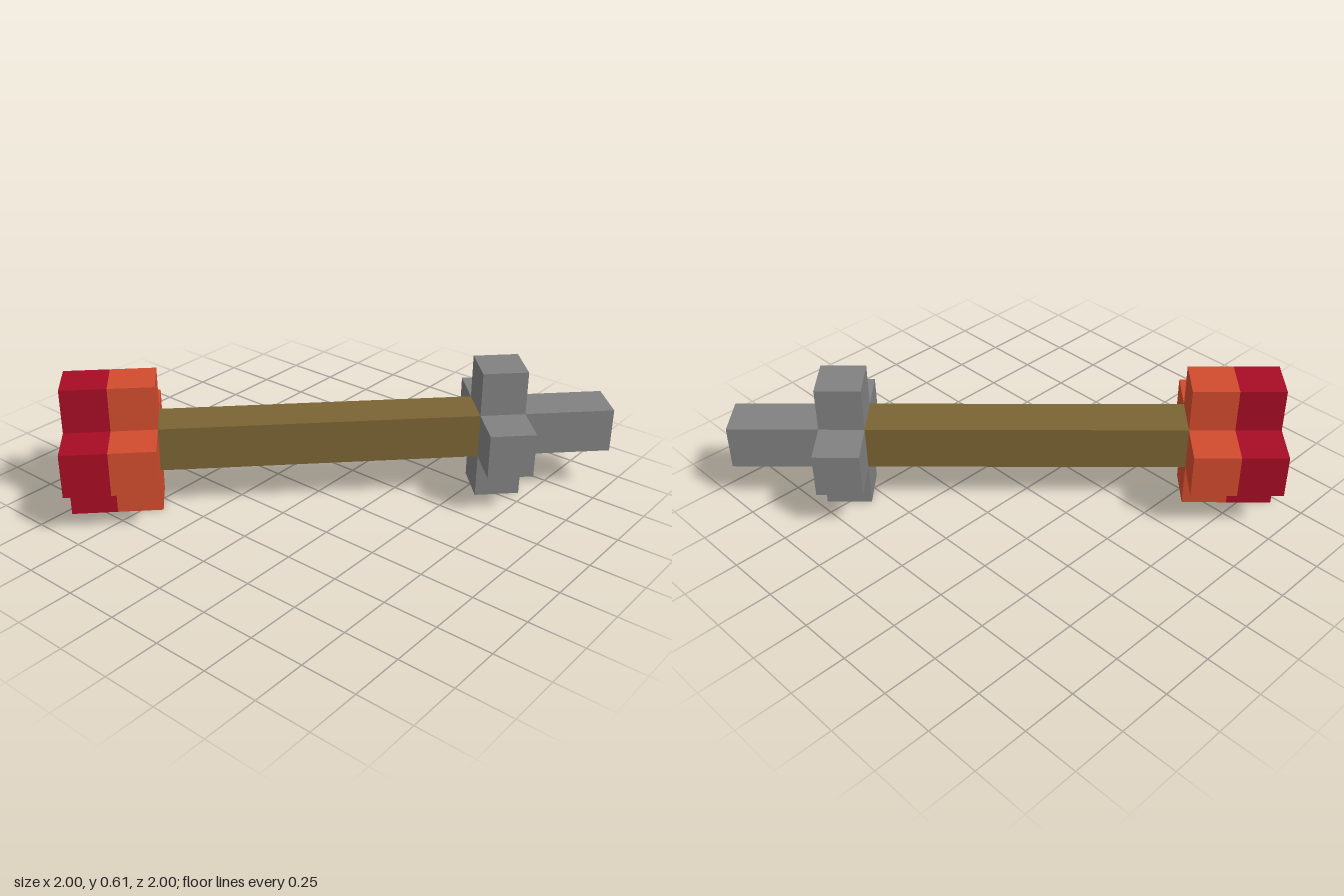
import * as THREE from 'three';

const U = Math.SQRT2 / 7; // edge of one cube of the model

const material = (name, color) => {
  const m = new THREE.MeshStandardMaterial({ color });
  m.name = name;
  return m;
};

export function createModel() {
  const wood = material('wood brown', 0x7a6433);
  const stone = material('stone grey', 0x818181);
  const crimson = material('crimson', 0xa70c24);
  const orange = material('orange red', 0xd24c2e);

  const arrow = new THREE.Group();
  arrow.name = 'arrow';

  // Box from x0 to x1 along the arrow, one cube thick, centred at (y, z), in cubes
  const addBox = (name, mat, x0, x1, y = 0, z = 0) => {
    const mesh = new THREE.Mesh(new THREE.BoxGeometry((x1 - x0) * U, U, U), mat);
    mesh.name = name;
    mesh.position.set(((x0 + x1) / 2) * U, y * U, z * U);
    arrow.add(mesh);
  };

  // Shaft and pointed tip
  addBox('shaft', wood, -5.5, 3.5);
  addBox('tip', stone, 3.5, 6.5);

  // Four barbs around the tip, four two-coloured vanes around the tail
  for (const [side, y, z] of [['upper', 1, 0], ['lower', -1, 0], ['left', 0, 1], ['right', 0, -1]]) {
    addBox(`${side} barb`, stone, 3.5, 4.5, y, z);
    addBox(`${side} vane front`, orange, -4.5, -3.5, y, z);
    addBox(`${side} vane rear`, crimson, -5.5, -4.5, y, z);
  }

  // Lay the arrow diagonally, resting on the ground
  arrow.rotation.y = Math.PI / 4;
  arrow.position.y = 1.5 * U;

  const model = new THREE.Group();
  model.name = 'model';
  model.add(arrow);
  return model;
}
